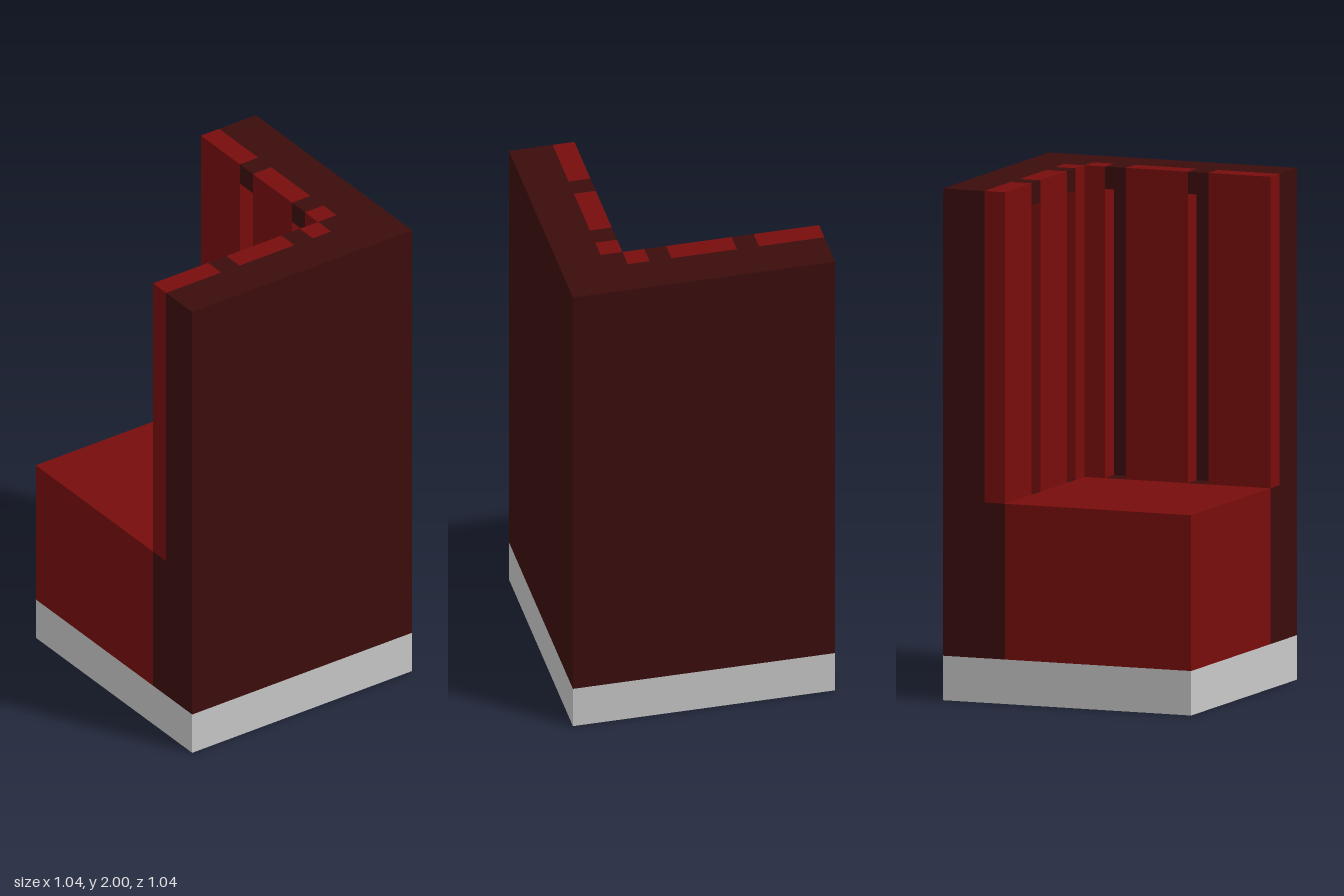
import * as THREE from 'three';
import { mergeGeometries } from 'three/addons/utils/BufferGeometryUtils.js';

const U = 2 / 23; // one block
const material = (name, color) =>
  new THREE.MeshStandardMaterial({ name, color, side: THREE.DoubleSide });

// One outward-facing side of a box given by its low and high corners.
function face(lo, hi, side) {
  const [w, h, d] = hi.map((v, i) => v - lo[i]);
  const axis = 'xyz'.indexOf(side[1]);
  const sign = side[0] === '+' ? 1 : -1;
  const plane = new THREE.PlaneGeometry(axis === 0 ? d : w, axis === 1 ? d : h);
  if (axis === 0) plane.rotateY(sign * Math.PI / 2);
  if (axis === 1) plane.rotateX(-sign * Math.PI / 2);
  if (axis === 2 && sign < 0) plane.rotateY(Math.PI);
  const c = lo.map((v, i) => (v + hi[i]) / 2);
  c[axis] = sign > 0 ? hi[axis] : lo[axis];
  return plane.translate(...c).scale(U, U, U);
}

// Hollow box with only the listed sides, sized in blocks.
function shell(name, mat, x, y, z, sides) {
  const lo = [x[0], y[0], z[0]], hi = [x[1], y[1], z[1]];
  const mesh = new THREE.Mesh(mergeGeometries(sides.split(' ').map(s => face(lo, hi, s))), mat);
  mesh.name = name;
  return mesh;
}

export function createModel() {
  const red = material('red upholstery', 0x780c0c);
  const dark = material('dark red frame', 0x3c0c0c);
  const grey = material('grey base', 0xc8c8c8);
  const model = new THREE.Group();
  model.name = 'cornerBooth';

  // Open-bottomed base and seat
  model.add(shell('base', grey, [-6, 6], [0, 2], [-6, 6], '+x -x +z -z'));
  model.add(shell('seat', red, [-6, 3], [2, 9], [-3, 6], '-x +y +z'));

  // Outer frame
  model.add(shell('backBoard', dark, [-6, 6], [2, 23], [-6, -4], '+x -x -z +y'));
  model.add(shell('sideBoard', dark, [4, 6], [2, 23], [-4, 6], '+x +z +y'));
  model.add(shell('cornerPost', dark, [3, 4], [9, 23], [-4, -3], '+y'));

  // Cushions: the side wall mirrors the back wall across the booth diagonal
  const swap = { '+x': '-z', '-x': '+z', '+z': '-x', '-z': '+x' };
  for (const mirrored of [false, true]) {
    const group = new THREE.Group();
    group.name = mirrored ? 'sideBackrest' : 'rearBackrest';
    const add = (name, mat, x, y, z, sides) => {
      if (!mirrored) return group.add(shell(name, mat, x, y, z, sides));
      const s = sides.split(' ').map(k => swap[k] || k).join(' ');
      return group.add(shell(name, mat, [-z[1], -z[0]], y, [-x[1], -x[0]], s));
    };
    add('plinthEnd', dark, [-6, 3], [2, 9], [-4, -3], '-x');
    for (const [a, b] of [[-6, -3], [-2, 1], [2, 3]])
      add('cushion', red, [a, b], [9, 23], [-4, -3], b < 3 ? '-x +x +y +z' : '-x +y +z');
    // Recessed grooves with a cap on top
    for (const a of [-3, 1]) {
      add('grooveCap', dark, [a, a + 1], [22, 23], [-4, -3], '+y -y +z');
      add('grooveBack', dark, [a, a + 1], [9, 22], [-6, -4], '+z');
      add('grooveFloor', dark, [a, a + 1], [2, 9], [-4, -3], '+y');
    }
    model.add(group);
  }
  return model;
}
